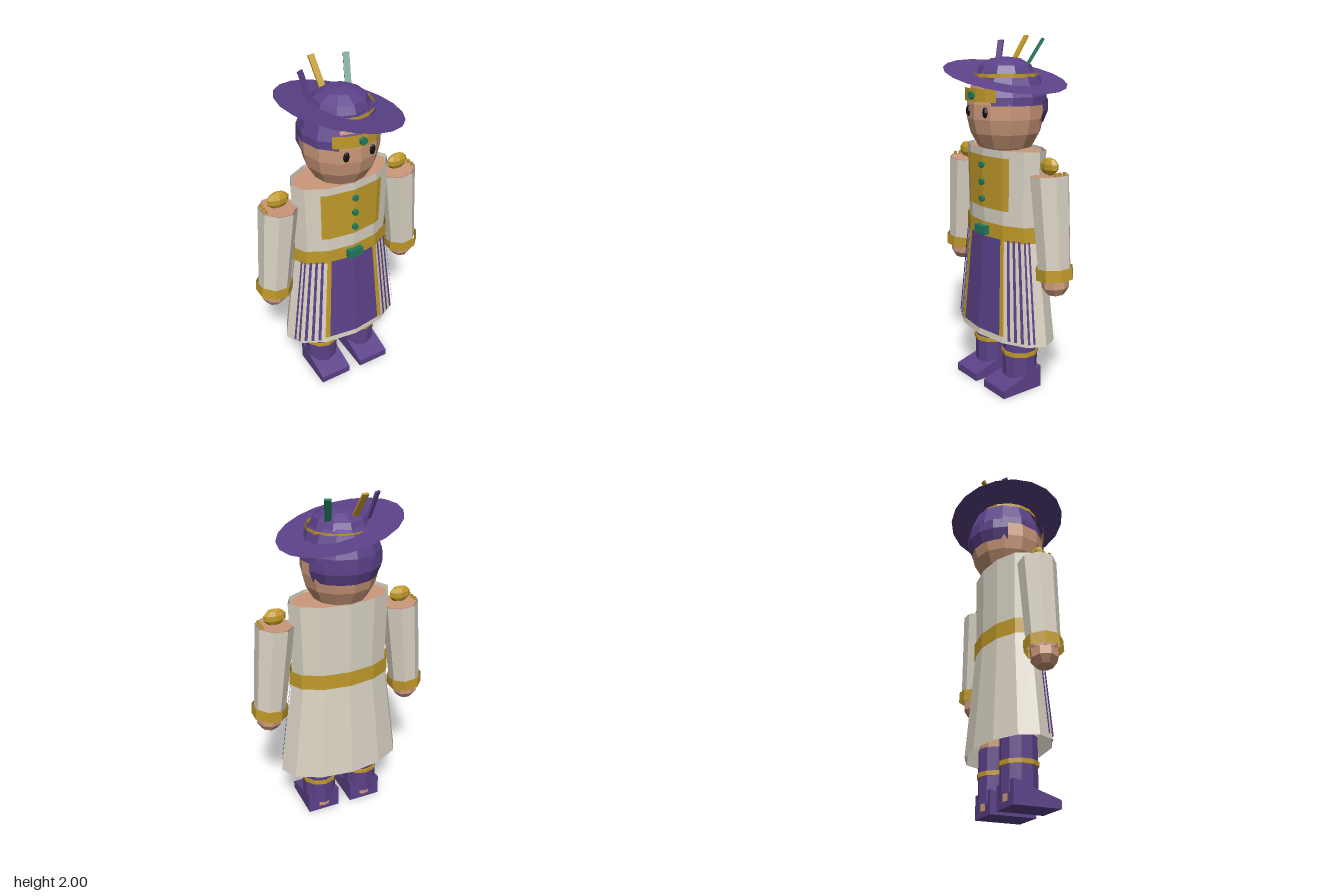
import * as THREE from 'three';

const mat = (name, color) => {
  const m = new THREE.MeshStandardMaterial({ color, flatShading: true, side: THREE.DoubleSide });
  m.name = name;
  return m;
};

// Coat radius at a height; depth is squashed to make the oval section
const DEPTH = 0.515;
const SIDES = 12;
const coatRadius = (y) => y < 0.95
  ? THREE.MathUtils.mapLinear(y, 0.32, 0.95, 0.375, 0.288)
  : THREE.MathUtils.mapLinear(y, 0.95, 1.4, 0.288, 0.3);

// Thin plate lying on the faceted coat between two angles (degrees) and two heights
function coatPlate(a0, a1, y0, y1, offset) {
  const step = 360 / SIDES;
  const angles = [a0];
  for (let a = Math.ceil((a0 + 0.01) / step) * step; a < a1; a += step) angles.push(a);
  angles.push(a1);
  const pos = [];
  const index = [];
  angles.forEach((a, i) => {
    const local = ((a % step) + step) % step - step / 2;
    const facet = Math.cos(Math.PI / SIDES) / Math.cos(THREE.MathUtils.degToRad(local));
    const t = THREE.MathUtils.degToRad(a);
    for (const y of [y0, y1]) {
      const r = coatRadius(y) * facet + offset;
      pos.push(Math.sin(t) * r, y, Math.cos(t) * r * DEPTH);
    }
    if (i > 0) {
      const k = (i - 1) * 2;
      index.push(k, k + 2, k + 1, k + 1, k + 2, k + 3);
    }
  });
  const g = new THREE.BufferGeometry();
  g.setAttribute('position', new THREE.Float32BufferAttribute(pos, 3));
  g.setIndex(index);
  g.computeVertexNormals();
  return g;
}

const lathe = (pts, segs, start = 0, length = Math.PI * 2) =>
  new THREE.LatheGeometry(pts.map(([r, y]) => new THREE.Vector2(r, y)), segs, start, length);

export function createModel() {
  const purple = mat('purple', 0x5c4289);
  const gold = mat('gold', 0xc09a2a);
  const ivory = mat('ivory', 0xdad3c4);
  const skin = mat('skin', 0xcb987a);
  const green = mat('green', 0x1f7a5c);
  const black = mat('black', 0x111111);

  const model = new THREE.Group();
  model.name = 'figure';
  const add = (name, geo, material, x = 0, y = 0, z = 0, parent = model) => {
    const m = new THREE.Mesh(geo, material);
    m.name = name;
    m.position.set(x, y, z);
    parent.add(m);
    return m;
  };

  // Body and coat
  const torso = [[0, 0.85], [0.26, 0.86], [0.285, 1.385], [0, 1.39]];
  add('torso', lathe(torso, SIDES).scale(1, 1, DEPTH), skin);
  const coat = [0.32, 0.95, 1.4].map((y) => [coatRadius(y), y]);
  add('coat', lathe(coat, SIDES).scale(1, 1, DEPTH), ivory);
  add('belt', lathe([[0.306, 0.9], [0.306, 0.99]], SIDES).scale(1, 1, DEPTH), gold);
  add('buckle', new THREE.BoxGeometry(0.09, 0.05, 0.035), green, 0, 0.945, 0.167);
  add('chestPanel', coatPlate(-38.5, 38.5, 1.07, 1.36, 0.012), gold);
  for (const y of [1.31, 1.215, 1.12]) {
    add('button', new THREE.CylinderGeometry(0.018, 0.018, 0.02, 6).rotateX(Math.PI / 2), green, 0, y, 0.166);
  }

  // Apron, its borders and the skirt stripes
  add('apron', coatPlate(-26.5, 26.5, 0.36, 0.92, 0.012), purple);
  for (const s of [-1, 1]) {
    const strip = (name, a, b, y0, m) =>
      add(name, coatPlate(Math.min(s * a, s * b), Math.max(s * a, s * b), y0, 0.92, 0.012), m);
    strip('apronBorder', 26.5, 31.5, 0.36, gold);
    for (let i = 0; i < 5; i++) strip('skirtStripe', 36 + i * 8, 39.5 + i * 8, 0.34, purple);
  }

  // Head and face
  const head = [[0, 1.36], [0.15, 1.4], [0.195, 1.48], [0.213, 1.56], [0.213, 1.64], [0.19, 1.73], [0.12, 1.8], [0, 1.83]];
  add('head', lathe(head, SIDES), skin);
  for (const x of [-0.077, 0.077]) {
    add('eye', new THREE.SphereGeometry(1, 6, 4).scale(0.02, 0.03, 0.013), black, x, 1.6, 0.195);
  }

  // Hair cap with a lower section round the back
  const hair = [[0.222, 1.635], [0.22, 1.68], [0.178, 1.785], [0.1, 1.84], [0, 1.855]];
  add('hairCap', lathe(hair, SIDES), purple, 0, 0, -0.012);
  const nape = [[0.2, 1.535], [0.226, 1.6], [0.224, 1.66]];
  add('backHair', lathe(nape, 6, Math.PI - 1.2, 2.4), purple, 0, 0, -0.012);
  add('headband', lathe([[0.224, 1.655], [0.224, 1.725]], 5, -0.7, 1.4), gold);
  add('headbandGem', new THREE.CylinderGeometry(0.022, 0.022, 0.022, 6).rotateX(Math.PI / 2), green, 0, 1.688, 0.228);

  // Hat with a sideways-tilted brim
  const hat = new THREE.Group();
  hat.name = 'hat';
  model.add(hat);
  const brim = add('brim', new THREE.CircleGeometry(0.343, 20).rotateX(-Math.PI / 2), purple, 0, 1.783, 0, hat);
  brim.rotation.z = -0.235;
  add('crown', lathe([[0.165, 1.72], [0.16, 1.8], [0.14, 1.842], [0.08, 1.876], [0, 1.886]], 10), purple, 0, 0, 0, hat);
  add('hatBand', new THREE.CylinderGeometry(0.18, 0.18, 0.02, 16, 1, true), gold, 0, 1.79, 0, hat);

  // Plumes leaning backwards: base, tip, twist, colour
  const plumes = [
    [[-0.138, 1.8, -0.045], [-0.17, 1.97, -0.097], 0.5, purple],
    [[-0.045, 1.8, -0.05], [-0.057, 1.995, -0.19], 0, gold],
    [[0.085, 1.8, -0.05], [0.13, 1.98, -0.155], -0.45, green],
  ];
  for (const [from, to, twist, m] of plumes) {
    const a = new THREE.Vector3(...from);
    const d = new THREE.Vector3(...to).sub(a);
    const geo = new THREE.BoxGeometry(0.034, d.length(), 0.012).rotateY(twist);
    const p = add('plume', geo, m, 0, 0, 0, hat);
    p.position.copy(a).addScaledVector(d, 0.5);
    p.quaternion.setFromUnitVectors(new THREE.Vector3(0, 1, 0), d.normalize());
  }

  // Arms and legs, mirrored
  for (const s of [1, -1]) {
    const side = new THREE.Group();
    side.name = s > 0 ? 'leftLimbs' : 'rightLimbs';
    side.scale.x = s;
    model.add(side);

    const arm = new THREE.Group();
    arm.name = 'arm';
    arm.position.set(0.43, 0.77, 0);
    arm.rotation.z = 0.1;
    side.add(arm);
    const turn = Math.PI / 8;
    add('upperArm', new THREE.CylinderGeometry(0.1, 0.075, 0.55, 8).rotateY(turn), skin, 0, 0.245, 0, arm);
    add('sleeve', new THREE.CylinderGeometry(0.107, 0.09, 0.52, 8, 1, true).rotateY(turn), ivory, 0, 0.26, 0, arm);
    add('cuff', new THREE.CylinderGeometry(0.104, 0.104, 0.065, 8, 1, true).rotateY(turn), gold, 0, 0, 0, arm);
    add('hand', new THREE.SphereGeometry(0.078, 8, 5), skin, 0, -0.055, 0, arm);

    // Shoulder knot and fringe
    add('epaulette', new THREE.SphereGeometry(1, 8, 5).scale(0.066, 0.048, 0.033), gold, 0.376, 1.335, 0, side);
    for (const z of [-0.033, 0, 0.033]) {
      add('fringe', new THREE.BoxGeometry(0.012, 0.075, 0.012), gold, 0.459, 1.277, z, side);
    }

    // Leg, boot and wedge-shaped foot
    add('leg', new THREE.CylinderGeometry(0.088, 0.088, 0.87, 10), skin, 0.137, 0.465, 0, side);
    add('bootShaft', new THREE.CylinderGeometry(0.1, 0.1, 0.3, 10, 1, true), purple, 0.137, 0.215, 0, side);
    add('bootBand', new THREE.CylinderGeometry(0.107, 0.107, 0.025, 10), gold, 0.137, 0.222, 0, side);
    const profile = [[0.19, 0], [0.19, 0.045], [0.04, 0.09], [-0.03, 0.12], [-0.078, 0.13], [-0.078, 0]];
    const shape = new THREE.Shape(profile.map(([z, y]) => new THREE.Vector2(z, y)));
    const foot = new THREE.ExtrudeGeometry(shape, { depth: 0.195, bevelEnabled: false });
    foot.translate(0, 0, -0.0975).rotateY(-Math.PI / 2);
    add('foot', foot, purple, 0.137, 0, 0, side);
  }
  return model;
}
